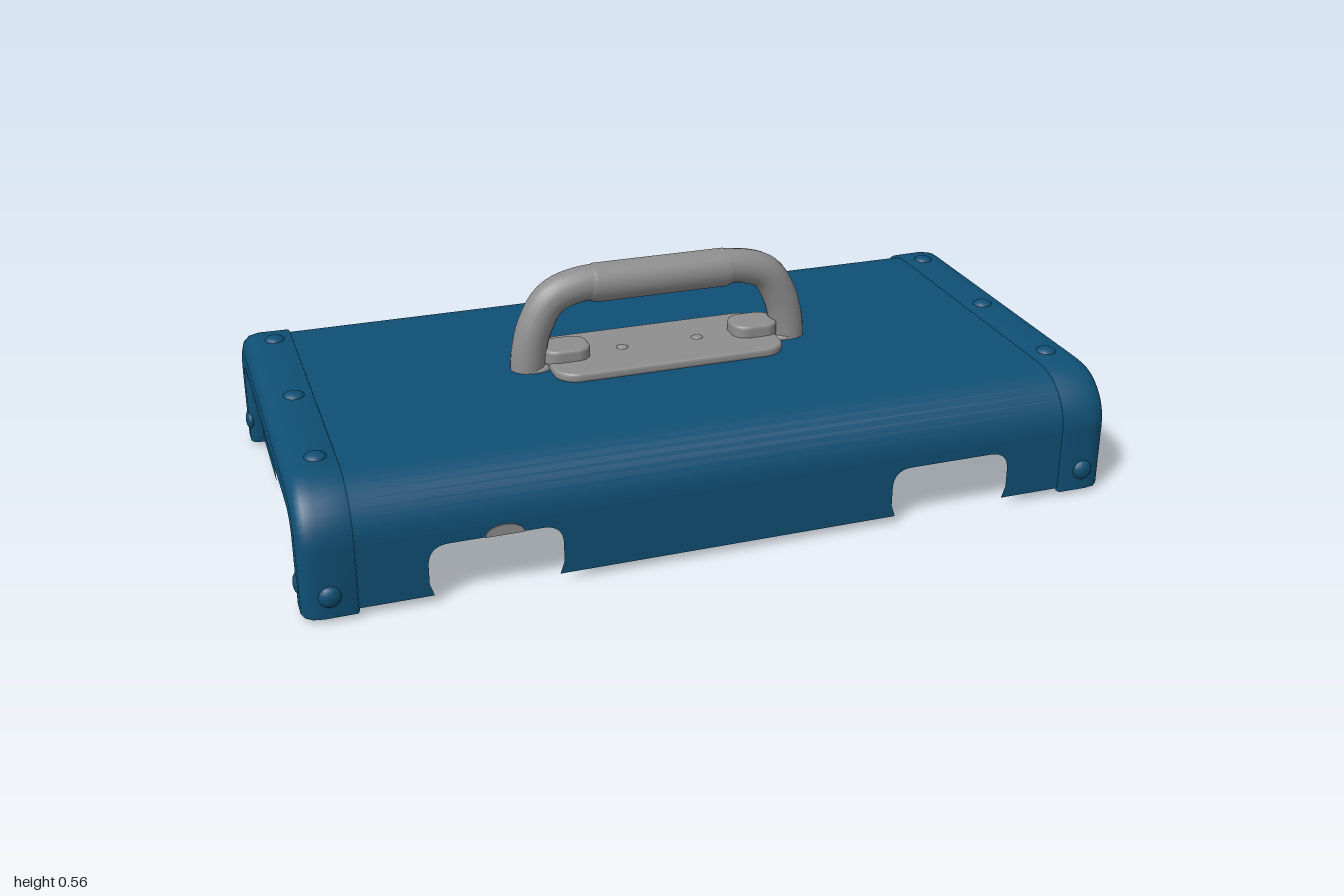
import * as THREE from 'three';

const blue = new THREE.MeshStandardMaterial({ color: 0x0f4f74, side: THREE.DoubleSide });
blue.name = 'blue shell';
const grey = new THREE.MeshStandardMaterial({ color: 0x8e8e8e, side: THREE.DoubleSide });
grey.name = 'grey handle';

// The lid is slightly higher at the back
const tilt = (y, z) => y - 0.018 * z * (y / 0.32);

// Rounded arch across the lid, offset inward; legs reach down to y = bottom
function arch(inset, bottom) {
  const pts = [];
  const r = 0.14 - inset;
  const side = [[0.52 - inset, bottom]];
  for (let i = 0; i <= 10; i++) {
    const a = (i / 10) * Math.PI / 2;
    side.push([0.38 + r * Math.cos(a), 0.18 + r * Math.sin(a)]);
  }
  side.forEach(([z, y]) => pts.push([tilt(y, z), z]));
  side.reverse().forEach(([z, y]) => pts.push([tilt(y, -z), -z]));
  return pts;
}

// Surface through rows of equal length
function loft(rows) {
  const n = rows[0].length, index = [];
  for (let j = 0; j < rows.length - 1; j++) {
    for (let i = 0; i < n - 1; i++) {
      const a = j * n + i, b = a + n;
      index.push(a, a + 1, b, a + 1, b + 1, b);
    }
  }
  const g = new THREE.BufferGeometry();
  g.setAttribute('position', new THREE.Float32BufferAttribute(rows.flat(2), 3));
  g.setIndex(index);
  g.computeVertexNormals();
  return g;
}

function add(parent, name, geometry, material, x = 0, y = 0, z = 0) {
  const m = new THREE.Mesh(geometry, material);
  m.name = name;
  m.position.set(x, y, z);
  parent.add(m);
  return m;
}

function polygon(points) {
  return new THREE.Shape(points.map(([x, y]) => new THREE.Vector2(x, y)));
}

function roundedRect(w, d, r) {
  const s = new THREE.Shape();
  const x = w / 2, y = d / 2;
  s.moveTo(-x + r, -y);
  s.lineTo(x - r, -y).absarc(x - r, -y + r, r, -Math.PI / 2, 0);
  s.absarc(x - r, y - r, r, 0, Math.PI / 2);
  s.absarc(-x + r, y - r, r, Math.PI / 2, Math.PI);
  s.absarc(-x + r, -y + r, r, Math.PI, Math.PI * 1.5);
  return s;
}

// Flat rounded plate lying on the lid
function plate(w, d, r, h) {
  const b = Math.min(0.008, h / 3);
  const g = new THREE.ExtrudeGeometry(roundedRect(w - 2 * b, d - 2 * b, r), {
    depth: h - 2 * b, bevelSize: b, bevelThickness: b, bevelSegments: 3, curveSegments: 8,
  });
  return g.translate(0, 0, b).rotateX(-Math.PI / 2);
}

function buildShell(root) {
  // Roof with its two rounded long edges, without the straight walls
  const roof = arch(0.008, 0.02).slice(1, -1);
  add(root, 'roof', loft([-0.97, 0.97].map(x => roof.map(([y, z]) => [x, y, z]))), blue);

  // Front wall with two latch openings
  const front = new THREE.Shape();
  front.moveTo(-0.97, 0.02);
  for (const cx of [-0.56, 0.57]) {
    const w = 0.155, top = 0.145, r = 0.05;
    front.lineTo(cx - w + 0.01, 0.02);
    front.lineTo(cx - w, 0.05).lineTo(cx - w, top - r);
    front.quadraticCurveTo(cx - w, top, cx - w + r, top);
    front.lineTo(cx + w - r, top);
    front.quadraticCurveTo(cx + w, top, cx + w, top - r);
    front.lineTo(cx + w, 0.05).lineTo(cx + w - 0.01, 0.02);
  }
  front.lineTo(0.97, 0.02).lineTo(0.97, 0.175).lineTo(-0.97, 0.175);
  add(root, 'frontWall', new THREE.ShapeGeometry(front), blue, 0, 0, 0.512);

  // Back wall with one ragged opening
  const back = polygon([
    [-0.97, 0.02], [-0.65, 0.02], [-0.63, 0.05], [-0.68, 0.06], [-0.64, 0.08], [-0.69, 0.09],
    [-0.62, 0.11], [-0.62, 0.14], [-0.49, 0.14], [-0.49, 0.115], [-0.45, 0.115], [-0.47, 0.095],
    [-0.41, 0.08], [-0.48, 0.065], [-0.43, 0.045], [-0.46, 0.04], [-0.45, 0.02],
    [0.97, 0.02], [0.97, 0.185], [-0.97, 0.185],
  ]);
  add(root, 'backWall', new THREE.ShapeGeometry(back).rotateY(Math.PI).scale(-1, 1, 1), blue, 0, 0, -0.512);

  // Small grey catch above one front opening
  const catchShape = new THREE.Shape();
  catchShape.absellipse(0, 0, 0.045, 0.026, 0, Math.PI);
  add(root, 'latchCatch', new THREE.ExtrudeGeometry(catchShape,
    { depth: 0.008, bevelEnabled: false }), grey, -0.54, 0.145, 0.507);
}

function buildEnds(root) {
  // Band section: [x, inset from the outside]
  const section = [[0.872, 0.012], [0.876, 0.001], [0.95, 0], [0.975, 0.005], [0.99, 0.018],
    [0.997, 0.04], [0.997, 0.085], [0.99, 0.097], [0.975, 0.102], [0.95, 0.102]];
  const rivet = new THREE.SphereGeometry(0.026, 14, 10);
  for (const side of [1, -1]) {
    const end = new THREE.Group();
    end.name = side > 0 ? 'leftEnd' : 'rightEnd';
    root.add(end);
    const rows = section.map(([x, inset]) => arch(inset, 0.012).map(([y, z]) => [side * x, y, z]));
    add(end, 'endBand', loft(rows), blue);

    // Rivets over the top, along the sides and on the end face
    for (const z of [0.33, 0, -0.35]) {
      add(end, 'topRivet', rivet, blue, side * 0.92, tilt(0.317, z), z).scale.y = 0.5;
    }
    for (const s of [1, -1]) {
      add(end, 'sideRivet', rivet, blue, side * 0.935, 0.065, s * 0.518).scale.z = 0.6;
      add(end, 'endRivet', rivet, blue, side * 0.992, 0.07, s * 0.445).scale.x = 0.5;
      add(end, 'foot', new THREE.SphereGeometry(0.03, 12, 8), blue, side * 0.955, 0.03, s * 0.485);
    }
  }

  // Only one end is closed by a recessed panel with a notch
  const panel = polygon([
    [-0.43, 0.02], [-0.17, 0.015], [-0.175, 0.035], [-0.14, 0.09], [0.10, 0.09], [0.13, 0.05],
    [0.13, 0.01], [0.43, 0.01], [0.43, 0.21], [-0.43, 0.225],
  ]);
  // Shape x becomes model z
  add(root, 'endPanel', new THREE.ShapeGeometry(panel).rotateY(-Math.PI / 2), blue, -0.965, 0, 0);
}

function buildHandle(root) {
  const handle = new THREE.Group();
  handle.name = 'handle';
  root.add(handle);

  add(handle, 'basePlate', plate(0.6, 0.26, 0.05, 0.024), grey, 0, 0.308, 0);
  add(handle, 'innerPlate', plate(0.58, 0.16, 0.03, 0.02), grey, 0, 0.294, 0);

  const half = [[0.347, 0.3], [0.343, 0.35], [0.325, 0.42], [0.285, 0.485], [0.22, 0.512]];
  const path = [...half.map(([x, y]) => [-x, y]), [0, 0.515], ...half.slice().reverse()]
    .map(([x, y]) => new THREE.Vector3(x, y, 0));
  const bow = new THREE.CatmullRomCurve3(path, false, 'centripetal');
  add(handle, 'bow', new THREE.TubeGeometry(bow, 64, 0.044, 20, false), grey);

  // Slightly thicker grip with soft shoulders
  const profile = [[0.042, -0.19], [0.049, -0.17], [0.049, 0.17], [0.042, 0.19]]
    .map(([r, y]) => new THREE.Vector2(r, y));
  add(handle, 'grip', new THREE.LatheGeometry(profile, 24).rotateZ(Math.PI / 2), grey, 0, 0.514, 0);

  for (const s of [1, -1]) {
    add(handle, 'pivotBoss', plate(0.12, 0.1, 0.03, 0.04), grey, s * 0.25, 0.322, 0);
    add(handle, 'handleFoot', plate(0.1, 0.088, 0.035, 0.04), grey, s * 0.335, 0.28, 0);
    add(handle, 'plateRivet', new THREE.SphereGeometry(0.016, 12, 8), grey, s * 0.1, 0.33, 0).scale.y = 0.5;
  }
}

export function createModel() {
  const root = new THREE.Group();
  root.name = 'toolboxLid';
  buildShell(root);
  buildEnds(root);
  buildHandle(root);
  return root;
}
